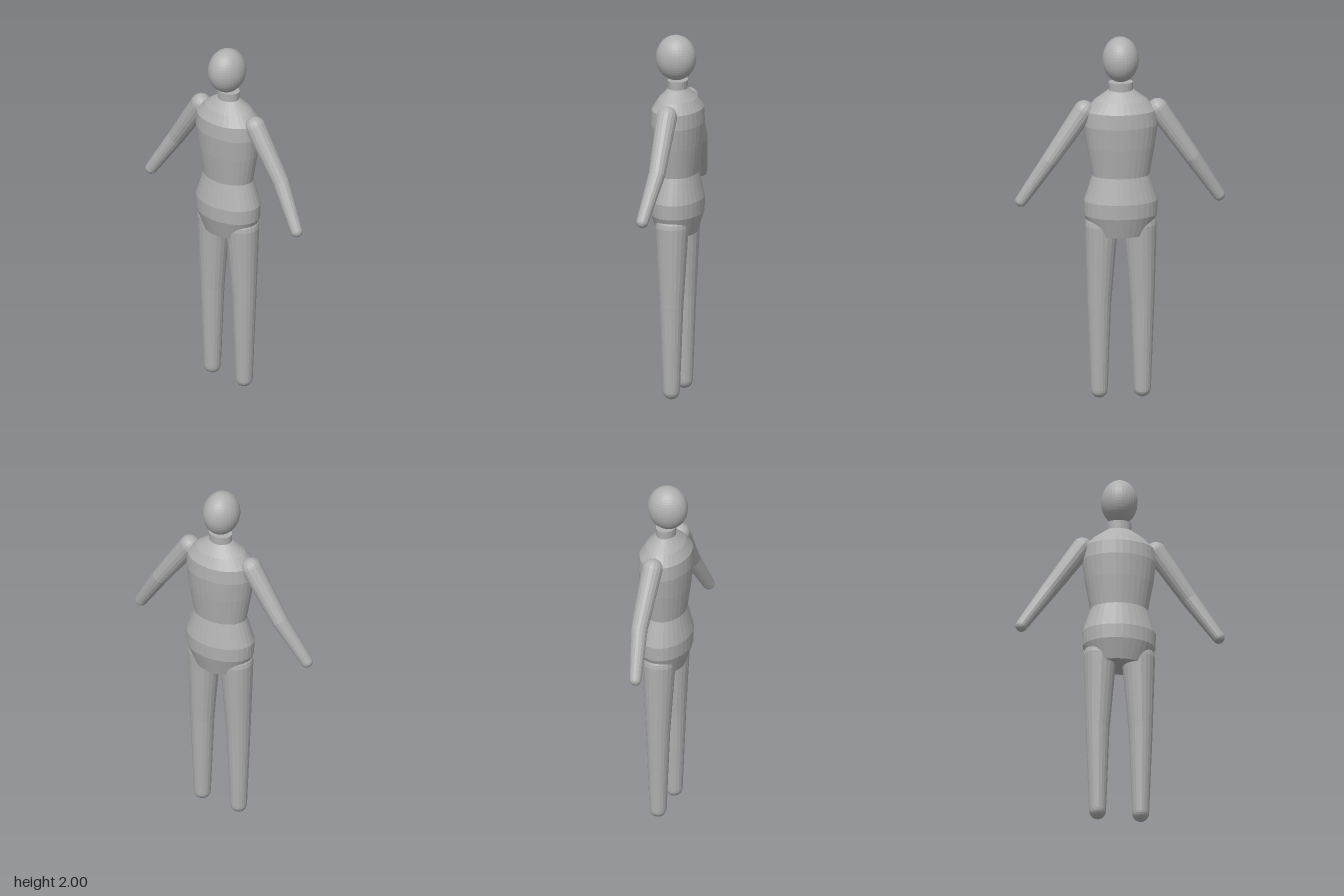
import * as THREE from 'three';

export function createModel() {
  const model = new THREE.Group();
  const grey = new THREE.MeshStandardMaterial({ color: 0xb0b0b0, flatShading: true });
  grey.name = 'mannequin grey';

  const add = (parent, name, geometry) => {
    const mesh = new THREE.Mesh(geometry, grey);
    mesh.name = name;
    parent.add(mesh);
    return mesh;
  };

  // Tapered segments along joints [x, y, z, radius], with a ball at each joint
  const limb = (name, joints, sides) => {
    const group = new THREE.Group();
    group.name = name;
    joints.forEach(([x, y, z, r], i) => {
      const a = new THREE.Vector3(x, y, z);
      const next = joints[i + 1];
      const dir = new THREE.Vector3(...(next || joints[i - 1]).slice(0, 3)).sub(a);
      if (!next) dir.negate();
      const length = dir.length();
      const turn = new THREE.Quaternion().setFromUnitVectors(
        new THREE.Vector3(0, -1, 0), dir.clone().normalize());
      const ball = add(group, name + 'Joint' + i, new THREE.SphereGeometry(r, sides, 12));
      ball.position.copy(a);
      ball.quaternion.copy(turn);
      if (next) {
        const seg = add(group, name + 'Segment' + i,
          new THREE.CylinderGeometry(r, next[3], length, sides, 1, true));
        seg.position.copy(a).addScaledVector(dir, 0.5);
        seg.quaternion.copy(turn);
      }
    });
    model.add(group);
  };

  // Torso: oval lathe from hips to collar
  const profile = [
    [0, 0.91], [0.15, 0.91], [0.197, 1.02], [0.2, 1.1], [0.155, 1.24],
    [0.184, 1.4], [0.2, 1.52], [0.193, 1.6], [0.145, 1.655], [0.07, 1.71], [0, 1.71],
  ].map(([x, y]) => new THREE.Vector2(x, y));
  add(model, 'torso', new THREE.LatheGeometry(profile, 32)).scale.z = 0.7;

  // Neck
  const neck = add(model, 'neck', new THREE.CylinderGeometry(0.067, 0.064, 0.065, 24));
  neck.position.y = 1.722;
  neck.scale.z = 0.8;

  // Egg-like head, deeper than it is wide
  const head = add(model, 'head', new THREE.SphereGeometry(1, 32, 24));
  head.scale.set(0.098, 0.124, 0.11);
  head.position.set(0, 1.876, 0.01);

  // Arms and legs
  for (const [side, s] of [['left', 1], ['right', -1]]) {
    limb(side + 'Arm', [
      [s * 0.2, 1.6, 0, 0.056], [s * 0.385, 1.33, -0.002, 0.045], [s * 0.535, 1.1, 0.034, 0.033],
    ], 16);
    limb(side + 'Leg', [
      [s * 0.105, 0.96, 0, 0.09], [s * 0.117, 0.53, 0, 0.065], [s * 0.117, 0.047, 0, 0.046],
    ], 20);
  }
  return model;
}
